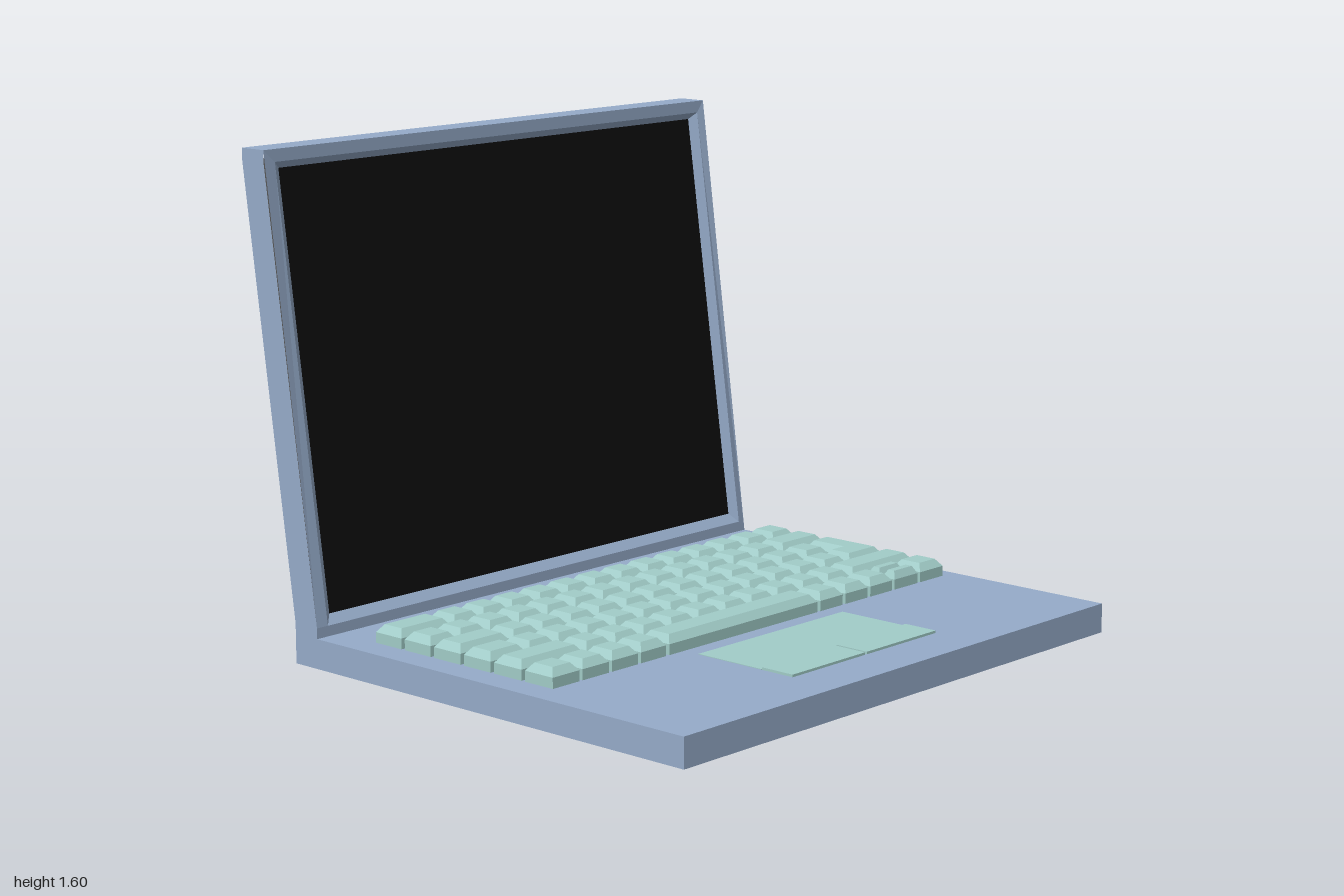
import * as THREE from 'three';

const material = (color) => new THREE.MeshStandardMaterial({ color, flatShading: true });
const BLUE = material(0x96acca);
const MINT = material(0xa2cdc9);
const BLACK = material(0x0d0d0d);
const GREY = material(0x6a6a6a);

const DECK = 0.096; // top of the base
const UNIT = 0.126; // key pitch across
const ROW = 0.13; // key pitch front to back
const GAP = 0.014;
const KEYS_LEFT = -0.905;
const KEYS_RIGHT = 0.943;
const KEYS_BACK = -0.455;

function add(parent, name, geometry, mat) {
  const mesh = new THREE.Mesh(geometry, mat);
  mesh.name = name;
  parent.add(mesh);
  return mesh;
}

// Box given by its limits
function block(x0, x1, y0, y1, z0, z1) {
  return new THREE.BoxGeometry(x1 - x0, y1 - y0, z1 - z0)
    .translate((x0 + x1) / 2, (y0 + y1) / 2, (z0 + z1) / 2);
}

const rect = (x0, x1, y0, y1) => [[x0, y0], [x1, y0], [x1, y1], [x0, y1]];
const toPoints = (list) => list.map(([x, y]) => new THREE.Vector2(x, y));

// Keycap with a chamfered top, from an outline of [x, z] corners
function keycap(outline, inset = 0.02) {
  const shape = new THREE.Shape(toPoints(outline.map(([x, z]) => [x, -z])));
  return new THREE.ExtrudeGeometry(shape, {
    depth: 0.04, bevelEnabled: true, bevelSegments: 1,
    bevelThickness: 0.025, bevelSize: inset, bevelOffset: -inset,
  }).rotateX(-Math.PI / 2).translate(0, 0.09, 0);
}

// Lean the lid backwards between the hinge and the top edge
function lean(geometry) {
  const p = geometry.attributes.position;
  for (let i = 0; i < p.count; i++) {
    const t = THREE.MathUtils.clamp((p.getY(i) - 0.13) / 1.43, 0, 1);
    p.setZ(i, p.getZ(i) - 0.2 * t);
  }
  geometry.computeVertexNormals();
  return geometry;
}

// Four sloping quads joining two rectangles at different depths
function slopedFrame(outer, zOuter, inner, zInner) {
  const pos = [];
  for (let i = 0; i < 4; i++) {
    const j = (i + 1) % 4;
    const a = [...outer[i], zOuter], b = [...outer[j], zOuter];
    const c = [...inner[j], zInner], d = [...inner[i], zInner];
    pos.push(...a, ...b, ...c, ...a, ...c, ...d);
  }
  const g = new THREE.BufferGeometry();
  g.setAttribute('position', new THREE.Float32BufferAttribute(pos, 3));
  return g;
}

function createLid() {
  const lid = new THREE.Group();
  lid.name = 'lid';
  const opening = rect(-0.955, 0.97, 0.13, 1.56);
  const screen = rect(-0.927, 0.942, 0.16, 1.538);

  // Frame, with extra side points where the lean starts and stops
  const outline = new THREE.Shape(toPoints([
    [-1, DECK], [1, DECK], [1, 0.13], [1, 1.56], [1, 1.6],
    [-1, 1.6], [-1, 1.56], [-1, 0.13],
  ]));
  outline.holes.push(new THREE.Path(toPoints(opening)));
  const frame = new THREE.ExtrudeGeometry(outline, { depth: 0.1, bevelEnabled: false });
  add(lid, 'lidFrame', lean(frame.translate(0, 0, -0.72)), BLUE);

  // Recessed screen with sloping border
  add(lid, 'screenBorder', lean(slopedFrame(opening, -0.62, screen, -0.64)), BLUE);
  const glass = new THREE.ShapeGeometry(new THREE.Shape(toPoints(screen)));
  add(lid, 'screen', lean(glass.translate(0, 0, -0.64)), BLACK);

  // Panel filling the back of the frame
  add(lid, 'backPanel', lean(block(-0.955, 0.97, 0.13, 1.56, -0.72, -0.71)), GREY);
  return lid;
}

function createKeyboard() {
  const keyboard = new THREE.Group();
  keyboard.name = 'keyboard';
  const ones = (n) => Array(n).fill(1);
  // Key widths in units; a negative width leaves a space
  const rows = [
    [1.78, ...ones(13)],
    [...ones(13), 1.78],
    [1.78, ...ones(12)],
    [1.3, ...ones(12)],
    [2.2, ...ones(10), 2.58],
    [...ones(4), 5.65, ...ones(3), -1.06, 1.07],
  ];
  rows.forEach((widths, r) => {
    let x = KEYS_LEFT;
    const z = KEYS_BACK + r * ROW;
    for (const w of widths) {
      const width = Math.abs(w) * UNIT;
      const x1 = x + width - GAP;
      if (w > 0) {
        add(keyboard, w > 5 ? 'spaceBar' : 'key', keycap(rect(x, x1, z, z + 0.115)), MINT);
      } else {
        // Two half-height arrow keys share the space
        for (const z0 of [z, z + 0.062]) {
          add(keyboard, 'arrowKey', keycap(rect(x, x1, z0, z0 + 0.053), 0.014), MINT);
        }
      }
      x += width;
    }
  });

  // L-shaped enter key over two rows
  const z0 = KEYS_BACK + 2 * ROW, z1 = z0 + ROW, z2 = z1 + 0.115;
  add(keyboard, 'enterKey', keycap([
    [0.835, z0], [KEYS_RIGHT, z0], [KEYS_RIGHT, z2], [0.772, z2], [0.772, z1], [0.835, z1],
  ]), MINT);
  return keyboard;
}

export function createModel() {
  const model = new THREE.Group();
  model.name = 'laptop';

  add(model, 'base', block(-1, 1, 0, DECK, -0.72, 0.917), BLUE);
  model.add(createLid(), createKeyboard());

  // Touchpad and its two buttons
  add(model, 'touchpad', block(-0.335, 0.35, 0.09, 0.098, 0.37, 0.625), MINT);
  for (const [x0, x1] of [[-0.335, 0.003], [0.012, 0.35]]) {
    add(model, 'touchpadButton', block(x0, x1, 0.09, 0.104, 0.627, 0.747), MINT);
  }
  return model;
}
